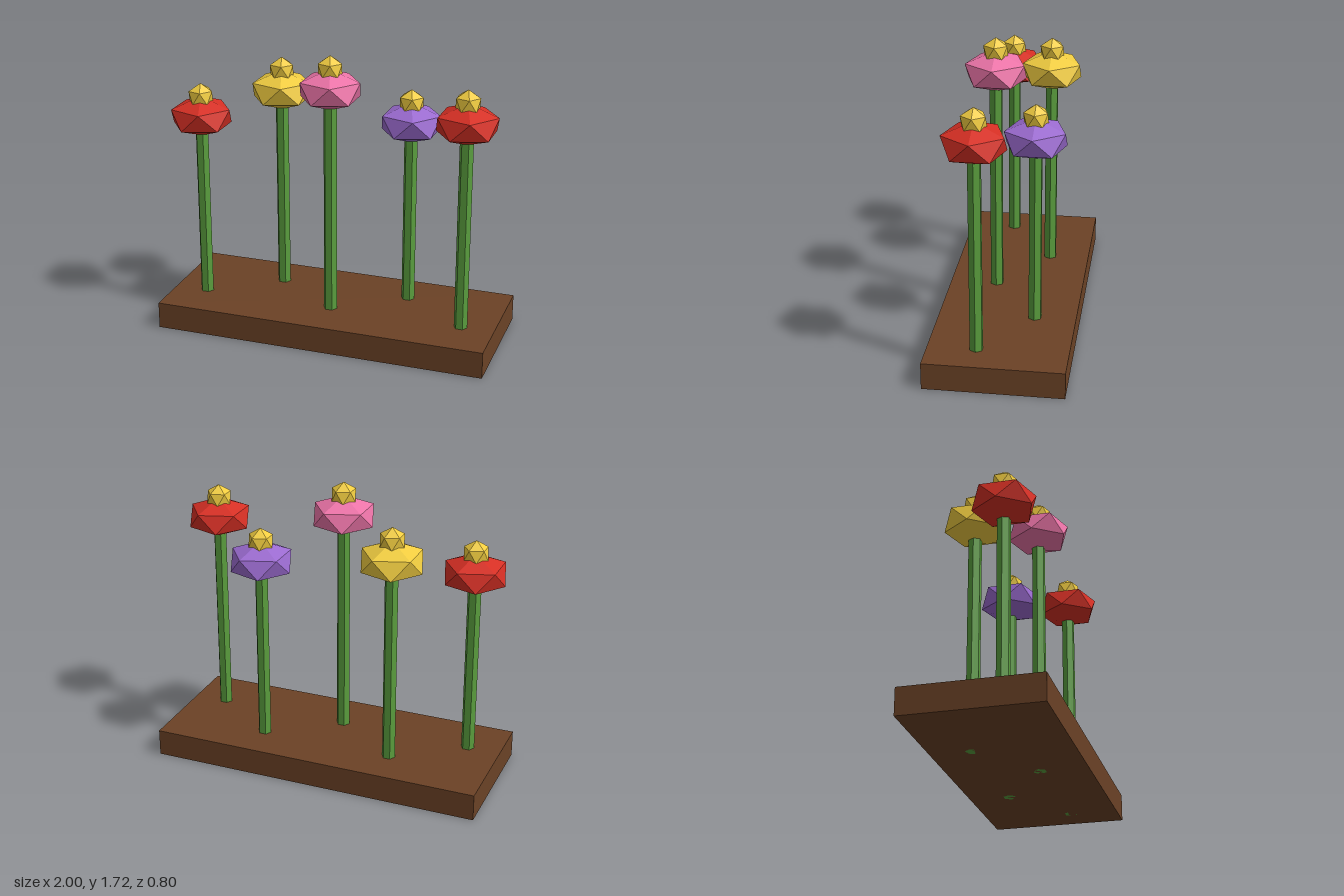
import * as THREE from 'three';
import { ConvexGeometry } from 'three/addons/geometries/ConvexGeometry.js';

const material = (color) => new THREE.MeshStandardMaterial({ color, flatShading: true });

// Icosahedron standing on a vertex, with its own horizontal and vertical radius
function gem(radius, height) {
  const points = [new THREE.Vector3(0, height, 0), new THREE.Vector3(0, -height, 0)];
  const ring = radius * 2 / Math.sqrt(5), level = height / Math.sqrt(5);
  for (let i = 0; i < 10; i++) {
    const a = i * Math.PI / 5;
    points.push(new THREE.Vector3(ring * Math.cos(a), i % 2 ? -level : level, ring * Math.sin(a)));
  }
  return new ConvexGeometry(points);
}

export function createModel() {
  const model = new THREE.Group();
  model.name = 'flowerBed';

  const add = (parent, name, geometry, mat, x, y, z) => {
    const mesh = new THREE.Mesh(geometry, mat);
    mesh.name = name;
    mesh.position.set(x, y, z);
    parent.add(mesh);
  };

  // Soil slab
  add(model, 'soil', new THREE.BoxGeometry(2, 0.16, 0.8), material(0x6b4226), 0, 0.08, 0);

  const green = material(0x5a9e3e);
  const yellow = material(0xf0cc40);
  const red = material(0xd62f24);
  const bloomShape = gem(0.2, 0.12);
  const centreShape = gem(0.08, 0.08);

  // Flowers: x, z, height of the bloom, bloom material
  const flowers = [
    [-0.8, 0.12, 1.28, red],
    [-0.4, -0.16, 1.4, yellow],
    [0, 0.12, 1.52, material(0xec74a8)],
    [0.4, -0.16, 1.28, material(0x9b6bd0)],
    [0.8, 0.12, 1.4, red],
  ];
  for (const [x, z, height, colour] of flowers) {
    const flower = new THREE.Group();
    flower.name = 'flower';
    flower.position.set(x, 0, z);
    // Six-sided stem rooted through the soil
    const stem = new THREE.CylinderGeometry(0.04, 0.04, height, 6).rotateY(Math.PI / 2);
    add(flower, 'stem', stem, green, 0, height / 2, 0);
    add(flower, 'bloom', bloomShape, colour, 0, height, 0);
    add(flower, 'bloomCentre', centreShape, yellow, 0, height + 0.12, 0);
    model.add(flower);
  }
  return model;
}
